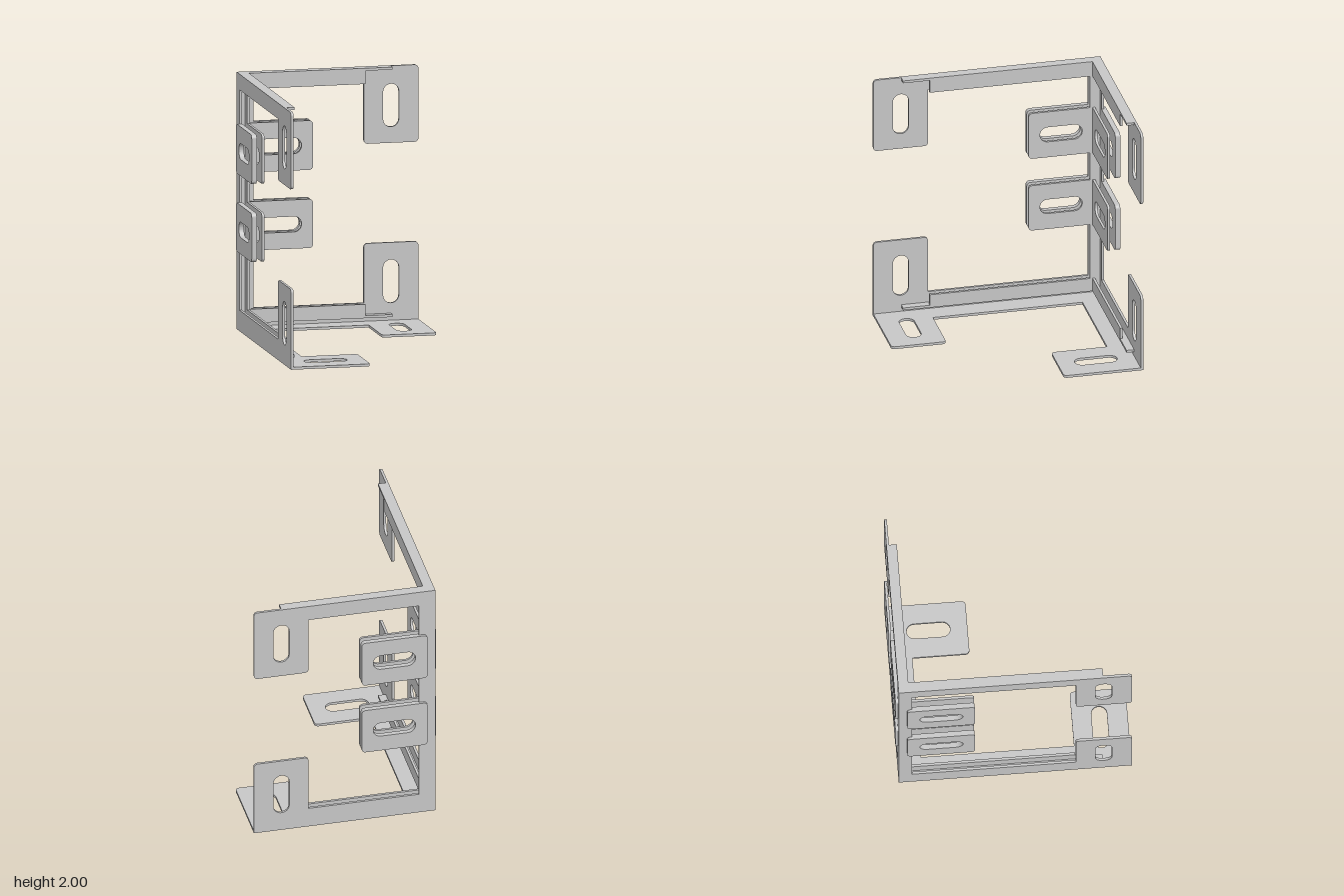
import * as THREE from 'three';

const X0 = -0.705, Z0 = -0.885;   // outer corner of the bracket
const T = 0.02;                   // sheet thickness
const GAP = 0.06;                 // outer face to start of the inner sheet
const TAB = 0.583, R = 0.03;
const LOW = 0.163, HIGH = 1.877;  // inner edges of the lower and upper beams
const TAB_Y = [[0.62, 1.0], [1.228, 1.612]];

// Polygon with optional corner radius as third value
function outline(points, Type = THREE.Shape) {
  const s = new Type();
  const n = points.length;
  const V = (p) => new THREE.Vector2(p[0], p[1]);
  points.forEach((p, i) => {
    const r = p[2] || 0, c = V(p);
    const toward = (q) => c.clone().add(V(q).sub(c).setLength(r));
    const a = toward(points[(i + n - 1) % n]);
    const b = toward(points[(i + 1) % n]);
    if (i === 0) s.moveTo(a.x, a.y); else s.lineTo(a.x, a.y);
    if (r) {
      // quarter arc as a cubic curve
      const k = 0.5523;
      const h1 = a.clone().lerp(c, k), h2 = b.clone().lerp(c, k);
      s.bezierCurveTo(h1.x, h1.y, h2.x, h2.y, b.x, b.y);
    }
  });
  s.closePath();
  return s;
}

const rect = (x0, y0, x1, y1, r = 0) => [[x0, y0, r], [x1, y0, r], [x1, y1, r], [x0, y1, r]];

// Slot with fully rounded ends
function slot(x0, y0, x1, y1) {
  const r = Math.min(x1 - x0, y1 - y0) / 2 - 0.0005;
  return outline(rect(x0, y0, x1, y1, r), THREE.Path);
}

const tabSlot = ([a, b]) => slot(0.16, a + 0.13, 0.493, b - 0.13);

function extrude(shape) {
  return new THREE.ExtrudeGeometry(shape, { depth: T, bevelEnabled: false, curveSegments: 8 });
}

export function createModel() {
  const group = new THREE.Group();
  group.name = 'cornerBracket';
  const steel = new THREE.MeshStandardMaterial({ color: 0xc6c6c6 });
  steel.name = 'light grey steel';

  const add = (parent, name, geometry) => {
    const m = new THREE.Mesh(geometry, steel);
    m.name = name;
    parent.add(m);
  };

  // Upright sheets; d is the distance inward from the outer face
  function wall(name, L, post, innerStart, left) {
    const g = new THREE.Group();
    g.name = name;
    g.position.set(X0, 0, Z0);
    group.add(g);
    const sheet = (part, shape, d) => {
      const geo = extrude(shape);
      if (left) geo.translate(0, 0, -d - T).rotateY(-Math.PI / 2);
      else geo.translate(0, 0, d);
      add(g, part, geo);
    };
    const E = L - 0.43;   // inner edge of the tall end tabs

    // Outer frame: post, beams, short tabs and tall end tabs
    const tabEdge = TAB_Y.flatMap(([a, b]) => [[post, a], [TAB, a, R], [TAB, b, R], [post, b]]);
    const outer = outline([
      [0, 0], [L, 0], [L, 0.625, R], [E, 0.625, R], [E, LOW], [post, LOW],
      ...tabEdge,
      [post, HIGH], [E, HIGH], [E, 1.4, R], [L, 1.4, R], [L, 2, R], [0, 2]
    ]);
    outer.holes.push(...TAB_Y.map(tabSlot),
      slot(L - 0.278, 0.155, L - 0.154, 0.492), slot(L - 0.278, 1.525, L - 0.154, 1.86));
    sheet('outerFrame', outer, 0);

    // Inner beams
    sheet('innerLowerBeam', outline(rect(innerStart, 0.055, E, LOW)), GAP);
    sheet('innerUpperBeam', outline(rect(innerStart, HIGH, E, 1.99)), GAP);

    TAB_Y.forEach((span) => {
      const [a, b] = span;
      // Inner layer of the short tab
      const tab = outline([[innerStart, a], [TAB, a, R], [TAB, b, R], [innerStart, b]]);
      tab.holes.push(tabSlot(span));
      sheet('innerTab', tab, GAP);
      // Pad on the outside of the short tab
      const pad = outline(rect(0.065, a, TAB, b, R));
      pad.holes.push(tabSlot(span));
      sheet('tabPad', pad, -T);
    });

    // Upright web joining the inner layer to the back wall
    if (left) sheet('postWeb', outline(rect(T, 0.055, innerStart, 1.99)), GAP);
  }
  wall('backWall', 1.427, 0.13, 0.08, false);
  wall('sideWall', 1.79, 0.1, 0.1, true);

  // Flat sheets, drawn in x and z
  const flat = (name, points, y, holes = []) => {
    const shape = outline(points.map(([x, z, r]) => [x, -z, r]));
    holes.forEach(([x0, z0, x1, z1]) => shape.holes.push(slot(x0, -z1, x1, -z0)));
    add(group, name, extrude(shape).rotateX(-Math.PI / 2).translate(0, y, 0));
  };

  // Base plate with two slotted tabs
  flat('basePlate', [
    [X0, Z0], [0.722, Z0], [0.722, -0.262, R], [0.292, -0.262, R], [0.292, -0.702],
    [-0.52, -0.702], [-0.52, 0.475], [-0.08, 0.475, R], [-0.08, 0.904, R], [X0, 0.904]
  ], 0, [[0.446, -0.73, 0.567, -0.395], [-0.55, 0.627, -0.212, 0.747]]);

  // Webs joining the inner and outer frames
  const web = [
    [X0, Z0], [0.505, Z0], [0.505, Z0 + 0.08], [X0 + 0.08, Z0 + 0.08], [X0 + 0.08, 0.685], [X0, 0.685]
  ];
  flat('topWeb', web, 1.98);
  flat('lowerWeb', web, 0.055);

  return group;
}
